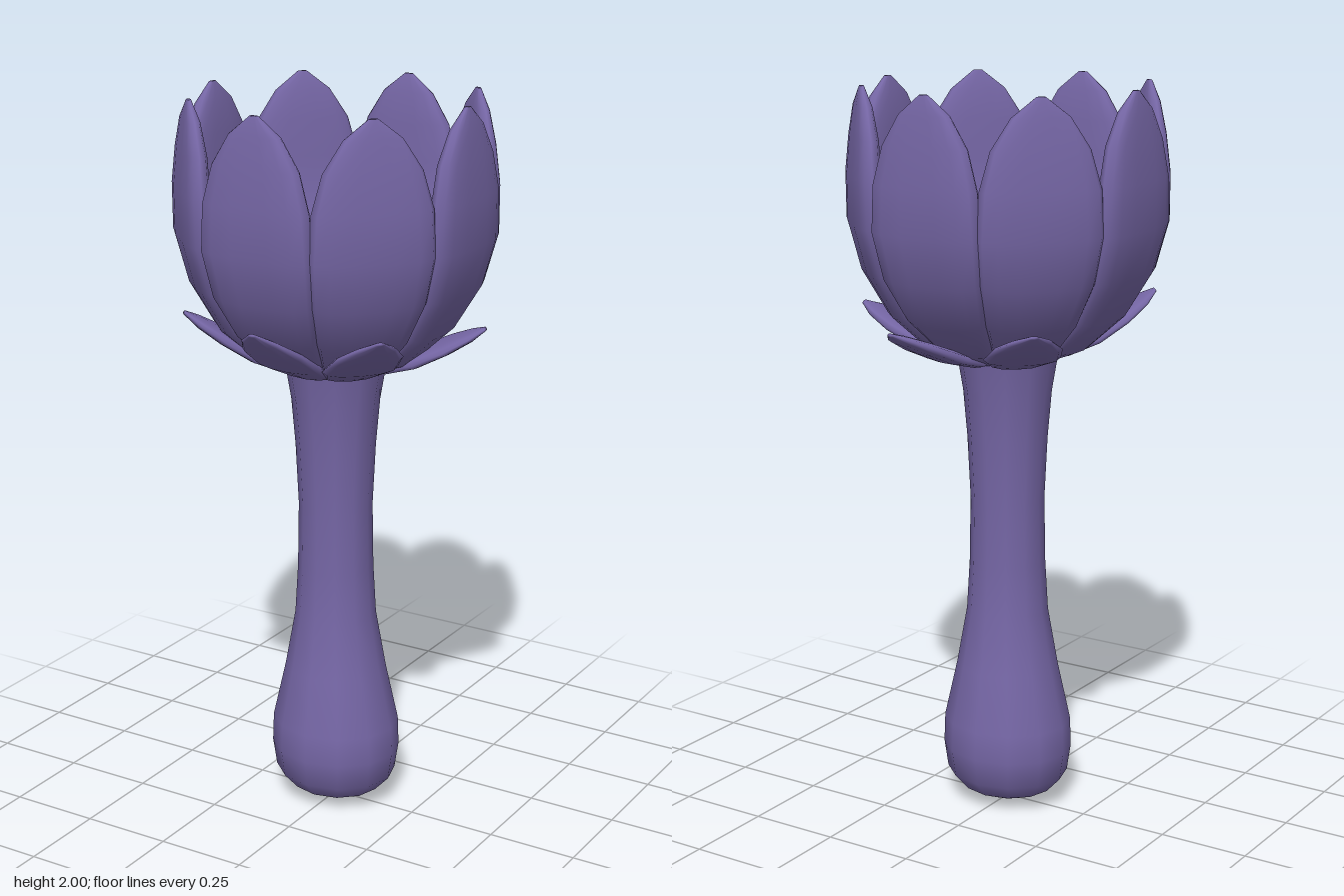
import * as THREE from 'three';

const purple = new THREE.MeshStandardMaterial({ color: 0x7566a5 });
purple.name = 'purple';

// Closed leaf growing outward along +z; stations are [radius, height, halfWidth, halfThickness]
function leafGeometry(stations, sides = 14, power = 0.8) {
  const pos = [], index = [];
  const last = stations.length - 1;
  stations.forEach(([r, y, w, t], i) => {
    const a = stations[Math.max(i - 1, 0)], b = stations[Math.min(i + 1, last)];
    const len = Math.hypot(b[0] - a[0], b[1] - a[1]);
    const nr = (b[1] - a[1]) / len, ny = -(b[0] - a[0]) / len; // outward normal of the spine
    for (let j = 0; j < sides; j++) {
      const ang = (j / sides) * Math.PI * 2;
      const c = Math.cos(ang), s = Math.sin(ang);
      const u = Math.sign(c) * Math.abs(c) ** power * w;
      const v = Math.sign(s) * Math.abs(s) ** power * t;
      pos.push(u, y + ny * v, r + nr * v);
    }
  });
  for (let i = 0; i < last; i++) {
    for (let j = 0; j < sides; j++) {
      const k = (j + 1) % sides;
      const a = i * sides + j, b = i * sides + k, c = a + sides, d = b + sides;
      index.push(a, c, b, b, c, d);
    }
  }
  // End caps
  for (const i of [0, last]) {
    const [r, y] = stations[i];
    const centre = pos.length / 3;
    pos.push(0, y, r);
    for (let j = 0; j < sides; j++) {
      const a = i * sides + j, b = i * sides + (j + 1) % sides;
      if (i === 0) index.push(centre, a, b);
      else index.push(centre, b, a);
    }
  }
  const geo = new THREE.BufferGeometry();
  geo.setAttribute('position', new THREE.Float32BufferAttribute(pos, 3));
  geo.setIndex(index);
  geo.computeVertexNormals();
  return geo;
}

export function createModel() {
  const model = new THREE.Group();
  model.name = 'flower';

  const add = (name, geo, turn = 0) => {
    const mesh = new THREE.Mesh(geo, purple);
    mesh.name = name;
    mesh.rotation.y = THREE.MathUtils.degToRad(turn);
    model.add(mesh);
    return mesh;
  };

  // Stem with a swollen foot, slightly narrower front to back at the bottom
  const profile = [
    [0, 0], [0.07, 0.015], [0.13, 0.04], [0.172, 0.085], [0.183, 0.16], [0.18, 0.24],
    [0.142, 0.4], [0.112, 0.56], [0.104, 0.7], [0.101, 0.88], [0.109, 1.05],
    [0.12, 1.18], [0.135, 1.27],
  ].map(([x, y]) => new THREE.Vector2(x, y));
  const stem = new THREE.LatheGeometry(profile, 12);
  const p = stem.attributes.position;
  for (let i = 0; i < p.count; i++) {
    const k = THREE.MathUtils.clamp((0.55 - p.getY(i)) / 0.3, 0, 1);
    p.setZ(i, p.getZ(i) * (1 - 0.1 * k));
  }
  add('stem', stem);

  // Domed heart inside the cup
  const dome = [[0.135, 1.27], [0.148, 1.32], [0.125, 1.355], [0.07, 1.38], [0, 1.39]]
    .map(([x, y]) => new THREE.Vector2(x, y));
  add('flowerHeart', new THREE.LatheGeometry(dome, 12));

  // Eight upright petals forming the cup
  const petal = leafGeometry([
    [0.1, 1.28, 0.05, 0.02],
    [0.2, 1.335, 0.088, 0.035],
    [0.285, 1.42, 0.122, 0.04],
    [0.348, 1.53, 0.152, 0.04],
    [0.379, 1.65, 0.165, 0.04],
    [0.383, 1.77, 0.157, 0.037],
    [0.381, 1.87, 0.128, 0.031],
    [0.382, 1.95, 0.076, 0.021],
    [0.384, 2.0, 0.012, 0.006],
  ], 14, 0.75);
  for (let i = 0; i < 8; i++) add('petal', petal, i * 45);

  // Spreading sepals under the cup: [turn in degrees, tip height]
  const sepals = [[0, 1.45], [47, 1.44], [107, 1.4], [165, 1.385], [222, 1.405], [313, 1.44]];
  for (const [turn, tip] of sepals) {
    const rise = tip - 1.27;
    add('sepal', leafGeometry([
      [0.07, 1.275, 0.04, 0.012],
      [0.15, 1.275 + rise * 0.08, 0.075, 0.018],
      [0.23, 1.27 + rise * 0.33, 0.102, 0.02],
      [0.31, 1.27 + rise * 0.62, 0.092, 0.018],
      [0.37, 1.27 + rise * 0.85, 0.055, 0.013],
      [0.405, 1.27 + rise, 0.012, 0.005],
    ], 12, 0.9), turn);
  }

  return model;
}
